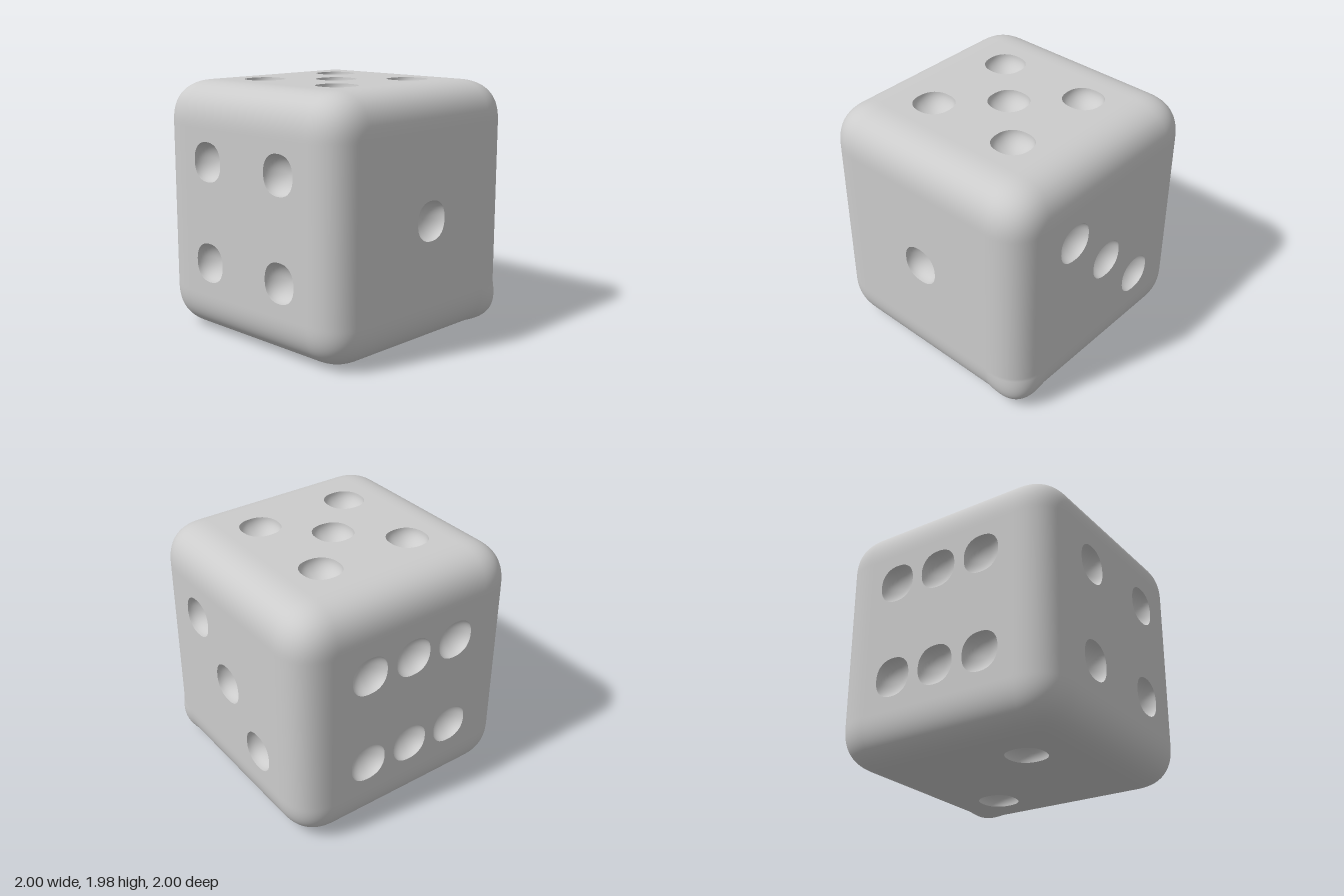
import * as THREE from 'three';
import { mergeVertices } from 'three/addons/utils/BufferGeometryUtils.js';

const HALF = 0.988;          // half the cube's width
const FILLET = 0.34;         // width of the rounded border
const FLAT = HALF - FILLET;  // half the width of each flat face
const ROUND = 2.5;           // softness exponent of the edges
const STEPS = 14;            // segments across a rounded border
const PIP = 0.154, DEPTH = 0.12, SIDES = 48;
const S = 0.395;             // pip spacing

const material = new THREE.MeshStandardMaterial({ color: 0xcccccc });

// Slightly squared circle of radius 1
function rim(angle) {
  const c = Math.cos(angle), s = Math.sin(angle), n = 2.3;
  const k = (Math.abs(c) ** n + Math.abs(s) ** n) ** (-1 / n);
  return [c * k, s * k];
}

// Rounded edges and corners, open where the flat faces go
function shellGeometry() {
  const n = 2 * STEPS + 1;
  let geo = new THREE.BoxGeometry(n, n, n, n, n, n);
  geo.deleteAttribute('uv');
  geo.deleteAttribute('normal');
  geo = mergeVertices(geo);
  const pos = geo.attributes.position;
  for (let i = 0; i < pos.count; i++) {
    const v = [pos.getX(i), pos.getY(i), pos.getZ(i)];
    const sign = v.map(Math.sign);
    let d = v.map(a => Math.max(0, (Math.abs(a) - 0.5) / STEPS));
    const len = d.reduce((sum, a) => sum + a ** ROUND, 0) ** (1 / ROUND);
    d = d.map(a => a / len);
    // One lower front corner is a little fuller than the rest
    const full = sign[0] > 0 && sign[1] < 0 && sign[2] > 0 ? 0.08 * d[0] * d[1] * d[2] : 0;
    pos.setXYZ(i, ...d.map((a, j) => sign[j] * (FLAT + FILLET * a + full)));
  }
  geo.computeVertexNormals();
  // Drop the middle square of every side
  const index = Array.from(geo.index.array), kept = [];
  for (let i = 0; i < index.length; i += 3) {
    const tri = index.slice(i, i + 3);
    const onFlat = tri.every(k => [pos.getX(k), pos.getY(k), pos.getZ(k)]
      .filter(a => Math.abs(a) < FLAT + 1e-4).length === 2);
    if (!onFlat) kept.push(...tri);
  }
  geo.setIndex(kept);
  return geo;
}

// Hollow bowl opening towards +z
function bowlGeometry() {
  let geo = new THREE.SphereGeometry(1, SIDES, 12, 0, Math.PI * 2, Math.PI / 2, Math.PI / 2);
  geo.rotateX(Math.PI / 2);
  geo.deleteAttribute('uv');
  geo.deleteAttribute('normal');
  geo = mergeVertices(geo);
  const pos = geo.attributes.position;
  for (let i = 0; i < pos.count; i++) {
    const r = Math.hypot(pos.getX(i), pos.getY(i));
    const [x, y] = rim(Math.atan2(pos.getY(i), pos.getX(i)));
    pos.setXYZ(i, x * r * PIP, y * r * PIP, pos.getZ(i) * DEPTH);
  }
  const idx = geo.index.array;
  for (let i = 0; i < idx.length; i += 3) [idx[i], idx[i + 1]] = [idx[i + 1], idx[i]];
  geo.computeVertexNormals();
  return geo;
}

// Flat face with a hole for each pip
function panelGeometry(pips) {
  const shape = new THREE.Shape([[-1, -1], [1, -1], [1, 1], [-1, 1]]
    .map(([x, y]) => new THREE.Vector2(x * FLAT, y * FLAT)));
  for (const [px, py] of pips) {
    const pts = [];
    for (let i = 0; i < SIDES; i++) {
      const [x, y] = rim(-i / SIDES * Math.PI * 2);
      pts.push(new THREE.Vector2(px * S + x * PIP, py * S + y * PIP));
    }
    shape.holes.push(new THREE.Path(pts));
  }
  return new THREE.ShapeGeometry(shape);
}

export function createModel() {
  const model = new THREE.Group();
  model.name = 'die';
  const add = (parent, geo, name) => {
    const mesh = new THREE.Mesh(geo, material);
    mesh.name = name;
    parent.add(mesh);
    return mesh;
  };

  add(model, shellGeometry(), 'roundedEdges');

  // Pip layouts in units of the spacing, with the turn that faces each side outward
  const corners = [[-1, -1], [1, -1], [1, 1], [-1, 1]];
  const q = Math.PI / 2;
  const faces = [
    ['front', 0, 0, [[0, 0]]],
    ['bottom', q, 0, [[1, 1], [-1, -1]]],
    ['left', 0, q, [[-1, 1], [0, 0], [1, -1]]],
    ['right', 0, -q, corners],
    ['top', -q, 0, [...corners, [0, 0]]],
    ['back', 0, 2 * q, [...corners, [0, 1], [0, -1]]],
  ];
  const bowl = bowlGeometry();
  for (const [name, rx, ry, pips] of faces) {
    const face = new THREE.Group();
    face.name = name + 'Face';
    face.rotation.set(rx, ry, 0);
    add(face, panelGeometry(pips), name + 'Panel').position.z = HALF;
    for (const [x, y] of pips) add(face, bowl, name + 'Pip').position.set(x * S, y * S, HALF);
    model.add(face);
  }

  // The die sits turned by a hair
  model.rotation.y = -0.016;
  model.position.y = HALF;
  const root = new THREE.Group();
  root.name = 'model';
  root.add(model);
  return root;
}
